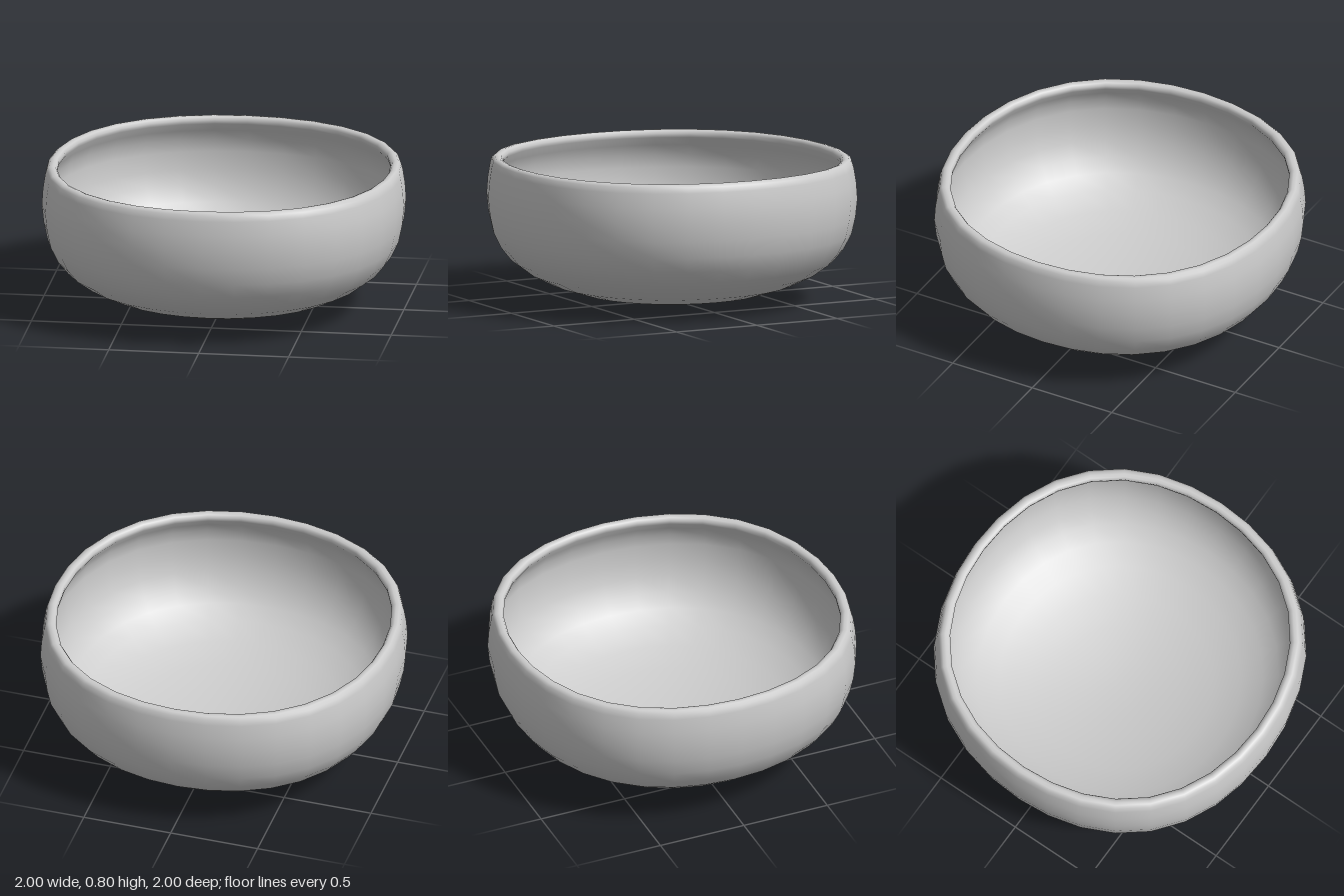
import * as THREE from 'three';
import { mergeVertices } from 'three/addons/utils/BufferGeometryUtils.js';

// Half section [radius, height]: up the outside, over the rim, down the inside
const PROFILE = [
  [0, 0], [0.17, 0.007], [0.34, 0.025], [0.52, 0.057], [0.67, 0.105], [0.79, 0.165],
  [0.875, 0.23], [0.93, 0.3], [0.97, 0.385], [0.99, 0.48], [1, 0.58], [0.994, 0.67],
  [0.982, 0.75], [0.973, 0.782], [0.958, 0.795], [0.94, 0.797], [0.925, 0.792],
  [0.915, 0.777], [0.918, 0.755], [0.945, 0.71], [0.972, 0.65], [0.98, 0.58], [0.97, 0.48],
  [0.95, 0.395], [0.91, 0.31], [0.855, 0.243], [0.775, 0.183], [0.66, 0.127],
  [0.51, 0.08], [0.335, 0.048], [0.17, 0.03], [0, 0.024],
];

export function createModel() {
  const group = new THREE.Group();
  group.name = 'bowl';

  let geometry = new THREE.LatheGeometry(PROFILE.map(([r, y]) => new THREE.Vector2(r, y)), 32);

  // Push the diagonals out a little for a softly squared plan, fading to round at the base
  const pos = geometry.attributes.position;
  for (let i = 0; i < pos.count; i++) {
    const x = pos.getX(i), z = pos.getZ(i);
    const r = Math.hypot(x, z);
    const s = 1 + 0.031 * Math.min(1, r * r) * Math.sin(2 * Math.atan2(x, z)) ** 2;
    pos.setX(i, x * s);
    pos.setZ(i, z * s);
  }

  // Weld the seam so shading runs smoothly all the way round
  geometry.deleteAttribute('uv');
  geometry.deleteAttribute('normal');
  geometry = mergeVertices(geometry, 1e-4);
  geometry.computeVertexNormals();

  const shell = new THREE.Mesh(geometry, new THREE.MeshStandardMaterial({ color: 0xcccccc }));
  shell.name = 'bowlShell';
  group.add(shell);
  return group;
}
